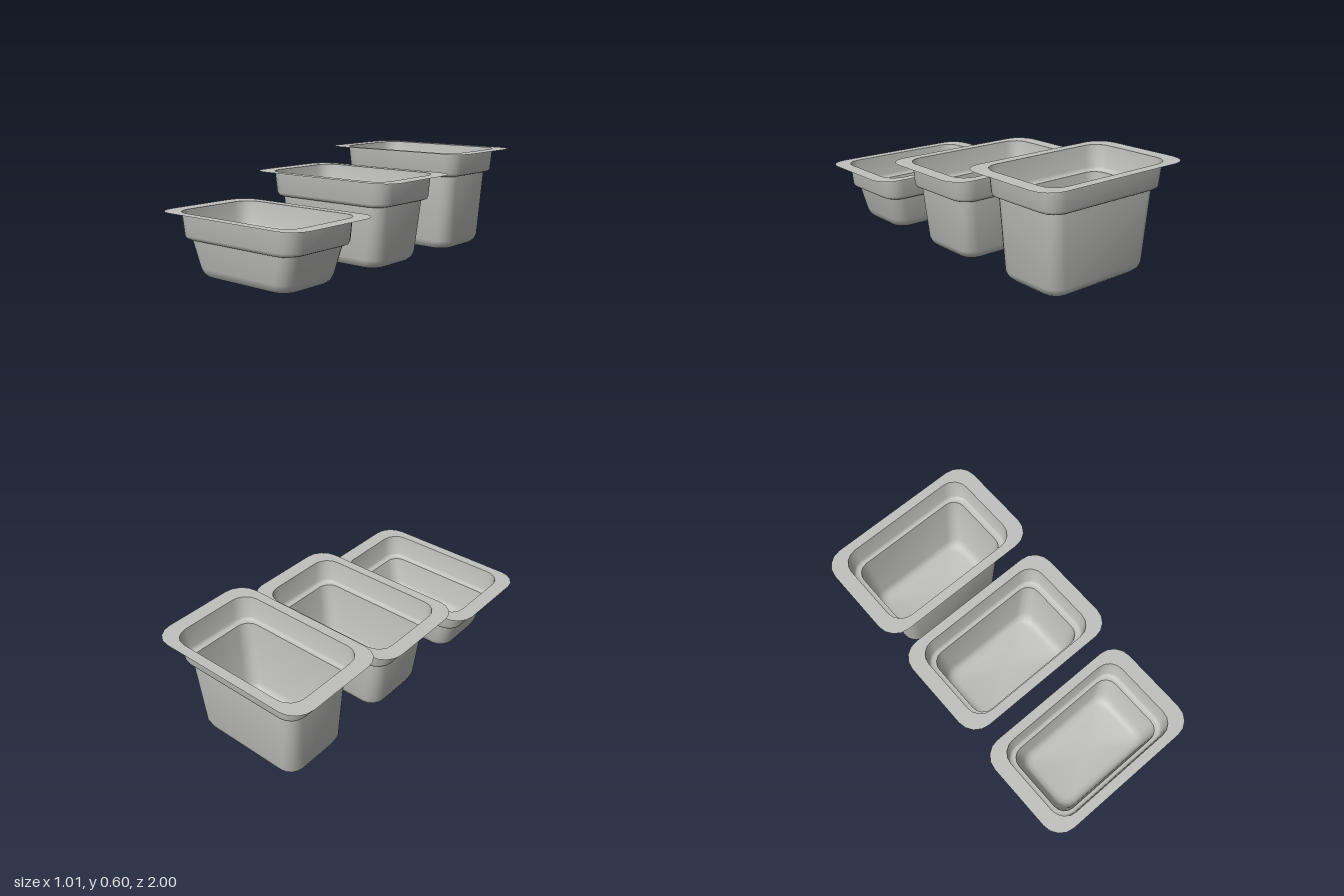
import * as THREE from 'three';
import { toCreasedNormals } from 'three/addons/utils/BufferGeometryUtils.js';

const CORNER_STEPS = 4;

// Rounded rectangle of half sizes hx, hz and corner radius r at height y
function ring([hx, hz, r, y]) {
  const points = [];
  const signs = [[1, 1], [-1, 1], [-1, -1], [1, -1]];
  signs.forEach(([sx, sz], q) => {
    for (let i = 0; i <= CORNER_STEPS; i++) {
      const a = (q + i / CORNER_STEPS) * Math.PI / 2;
      points.push([sx * (hx - r) + r * Math.cos(a), y, sz * (hz - r) + r * Math.sin(a)]);
    }
  });
  return points;
}

// Sheet through a series of rounded rectangles, closed at the last one if asked
function sheet(sections, closed) {
  const positions = [];
  const rings = sections.map(ring);
  const n = rings[0].length;
  for (let k = 0; k < rings.length - 1; k++) {
    for (let i = 0; i < n; i++) {
      const j = (i + 1) % n;
      const a = rings[k][i], b = rings[k][j], c = rings[k + 1][j], d = rings[k + 1][i];
      positions.push(...a, ...b, ...c, ...a, ...c, ...d);
    }
  }
  if (closed) {
    const last = rings[rings.length - 1];
    for (let i = 0; i < n; i++) {
      positions.push(...last[i], ...last[(i + 1) % n], 0, last[0][1], 0);
    }
  }
  const geometry = new THREE.BufferGeometry();
  geometry.setAttribute('position', new THREE.Float32BufferAttribute(positions, 3));
  return toCreasedNormals(geometry, 0.75);
}

function createPan(name, h, bx, bz, material) {
  const pan = new THREE.Group();
  pan.name = name;
  const add = (part, sections, closed = false) => {
    const mesh = new THREE.Mesh(sheet(sections, closed), material);
    mesh.name = part;
    pan.add(mesh);
  };
  const s = h - 0.143; // height of the stacking step

  // Wide flat flange
  add('rimFlange', [[0.505, 0.315, 0.115, h], [0.418, 0.26, 0.095, h]]);
  // Upper wall and the inward step under it
  add('upperWall', [
    [0.418, 0.26, 0.095, h],
    [0.409, 0.248, 0.09, s + 0.02],
    [0.403, 0.243, 0.086, s + 0.006],
    [0.39, 0.236, 0.082, s],
    [0.372, 0.222, 0.075, s],
  ]);
  // Tapered basin with a rounded bottom
  add('basin', [
    [0.372, 0.222, 0.075, s],
    [bx, bz, 0.08, 0.055],
    [bx - 0.013, bz - 0.01, 0.08, 0.024],
    [bx - 0.03, bz - 0.026, 0.075, 0.008],
    [bx - 0.058, bz - 0.052, 0.06, 0],
  ], true);
  return pan;
}

export function createModel() {
  const steel = new THREE.MeshStandardMaterial({ color: 0xc0c1bf, side: THREE.DoubleSide });
  steel.name = 'brushed steel grey';
  const model = new THREE.Group();
  model.name = 'foodPans';

  // Three pans of increasing depth, front to back
  const pans = [
    ['shallowPan', 0.35, 0.335, 0.203, 0.684],
    ['mediumPan', 0.5, 0.34, 0.206, -0.008],
    ['deepPan', 0.6, 0.343, 0.207, -0.685],
  ];
  for (const [name, h, bx, bz, z] of pans) {
    const pan = createPan(name, h, bx, bz, steel);
    pan.position.z = z;
    model.add(pan);
  }
  return model;
}
